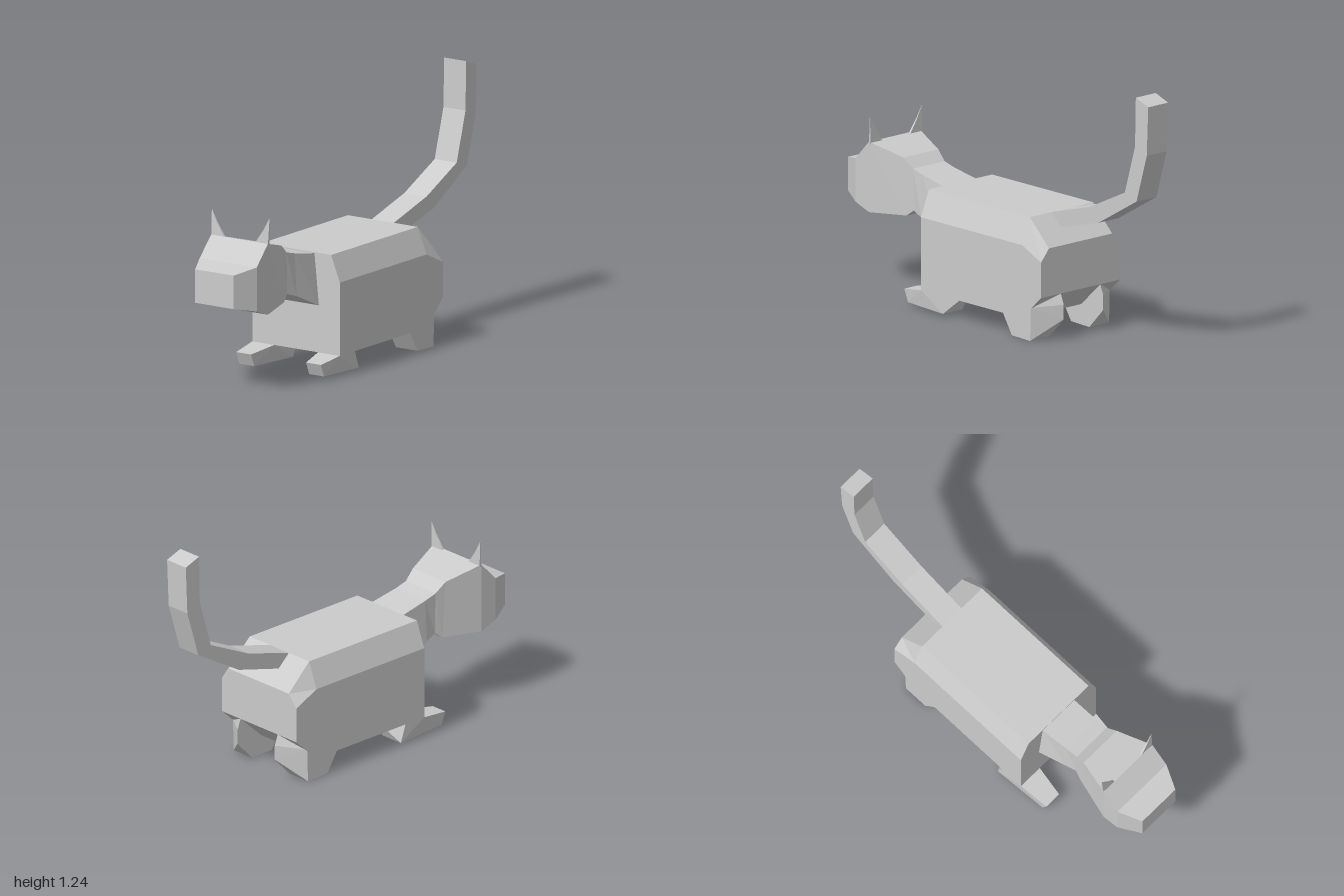
import * as THREE from 'three';
import { ConvexGeometry } from 'three/addons/geometries/ConvexGeometry.js';

const material = new THREE.MeshStandardMaterial({ color: 0xcccccc, flatShading: true, side: THREE.DoubleSide });

// Joins rings of [x, y, z] corners (counter-clockwise seen from +x) into a capped solid.
function loft(rings) {
  const n = rings[0].length, index = [], last = (rings.length - 1) * n;
  for (let i = 0; i < rings.length - 1; i++) {
    for (let j = 0; j < n; j++) {
      const a = i * n + j, b = i * n + (j + 1) % n;
      index.push(a, b, b + n, a, b + n, a + n);
    }
  }
  for (let j = 1; j < n - 1; j++) {
    index.push(0, j + 1, j, last, last + j, last + j + 1);
  }
  const geometry = new THREE.BufferGeometry();
  geometry.setAttribute('position', new THREE.Float32BufferAttribute(rings.flat(2), 3));
  geometry.setIndex(index);
  const flat = geometry.toNonIndexed();
  flat.computeVertexNormals();
  return flat;
}

// Four-cornered ring from an upper and a lower edge.
const boxRing = (xTop, yTop, xLow, yLow, zTop, zLow = zTop) =>
  [[xTop, yTop, zTop], [xLow, yLow, zLow], [xLow, yLow, -zLow], [xTop, yTop, -zTop]];

// Solid hull of a list of corners, mirrored to either side.
const hull = (points, side) =>
  new ConvexGeometry(points.map(([x, y, z]) => new THREE.Vector3(x, y, z * side)));

export function createModel() {
  const model = new THREE.Group();
  const add = (name, geometry) => {
    const mesh = new THREE.Mesh(geometry, material);
    mesh.name = name;
    model.add(mesh);
  };

  // Torso with chamfered back edges and a tapered rump: x, top, shoulder, bottom
  const torso = [[-0.35, 0.575, 0.45, 0.1], [0.34, 0.575, 0.45, 0.1], [0.47, 0.45, 0.39, 0.22]];
  add('body', loft(torso.map(([x, top, shoulder, bottom]) => [
    [x, top, 0.2], [x, shoulder, 0.25], [x, bottom, 0.25],
    [x, bottom, -0.25], [x, shoulder, -0.25], [x, top, -0.2],
  ])));

  // Head and neck, from muzzle to chest
  add('headAndNeck', loft([
    boxRing(-1, 0.59, -1, 0.43, 0.11),
    boxRing(-0.89, 0.615, -0.89, 0.405, 0.163),
    boxRing(-0.8, 0.71, -0.8, 0.372, 0.162),
    boxRing(-0.62, 0.66, -0.6, 0.385, 0.11),
    boxRing(-0.565, 0.615, -0.56, 0.415, 0.1),
    boxRing(-0.5, 0.598, -0.5, 0.395, 0.1, 0.11),
    boxRing(-0.35, 0.57, -0.35, 0.325, 0.105, 0.13),
  ]));

  // Curved square tail
  add('tail', loft([
    boxRing(0.34, 0.575, 0.405, 0.515, 0.063),
    boxRing(0.6, 0.65, 0.66, 0.585, 0.063),
    boxRing(0.84, 0.765, 0.92, 0.737, 0.063),
    boxRing(0.91, 1.0, 0.99, 0.97, 0.063),
    boxRing(0.915, 1.235, 1.0, 1.205, 0.063),
  ]));

  for (const side of [1, -1]) {
    const label = side > 0 ? 'left' : 'right';

    // Thin pointed ear with a hollowed inner edge
    const ear = [[0.162, 0.7], [0.165, 0.832], [0.132, 0.77], [0.085, 0.7]];
    const shape = new THREE.Shape(ear.map(([z, y]) => new THREE.Vector2(-z * side, y)));
    const earGeometry = new THREE.ExtrudeGeometry(shape, { depth: 0.012, bevelEnabled: false });
    earGeometry.rotateY(Math.PI / 2).translate(-0.8, 0, 0);
    // Narrow the ear towards its tip
    const p = earGeometry.attributes.position;
    for (let i = 0; i < p.count; i++) {
      const t = Math.min(1, Math.max(0, (p.getY(i) - 0.7) / 0.132));
      p.setX(i, THREE.MathUtils.lerp(p.getX(i), -0.79, t * 0.9));
    }
    earGeometry.computeVertexNormals();
    add(label + 'Ear', earGeometry);

    // Front leg with a toe reaching forward
    const toe = side > 0 ? -0.48 : -0.5;
    add(label + 'FrontLeg', hull([
      [-0.35, 0.1, 0.25], [-0.23, 0.1, 0.25], [-0.2, 0.015, 0.25],
      [-0.35, 0.1, 0.125], [-0.16, 0.1, 0.125], [-0.2, 0.015, 0.125],
      [toe, 0.08, 0.235], [toe + 0.025, 0.02, 0.235],
      [toe, 0.08, 0.15], [toe + 0.025, 0.02, 0.15],
    ], side));

    // Hind leg with a heel slanting back on the inner side
    add(label + 'HindLeg', hull([
      [0.21, 0.1, 0.25], [0.27, 0.004, 0.25], [0.395, 0, 0.25], [0.34, 0.1, 0.25], [0.4, 0.16, 0.25],
      [0.21, 0.1, 0.125], [0.27, 0.004, 0.125], [0.395, 0, 0.125],
      [0.49, 0.1, 0.125], [0.49, 0.17, 0.125], [0.47, 0.22, 0.125],
    ], side));
  }
  return model;
}
